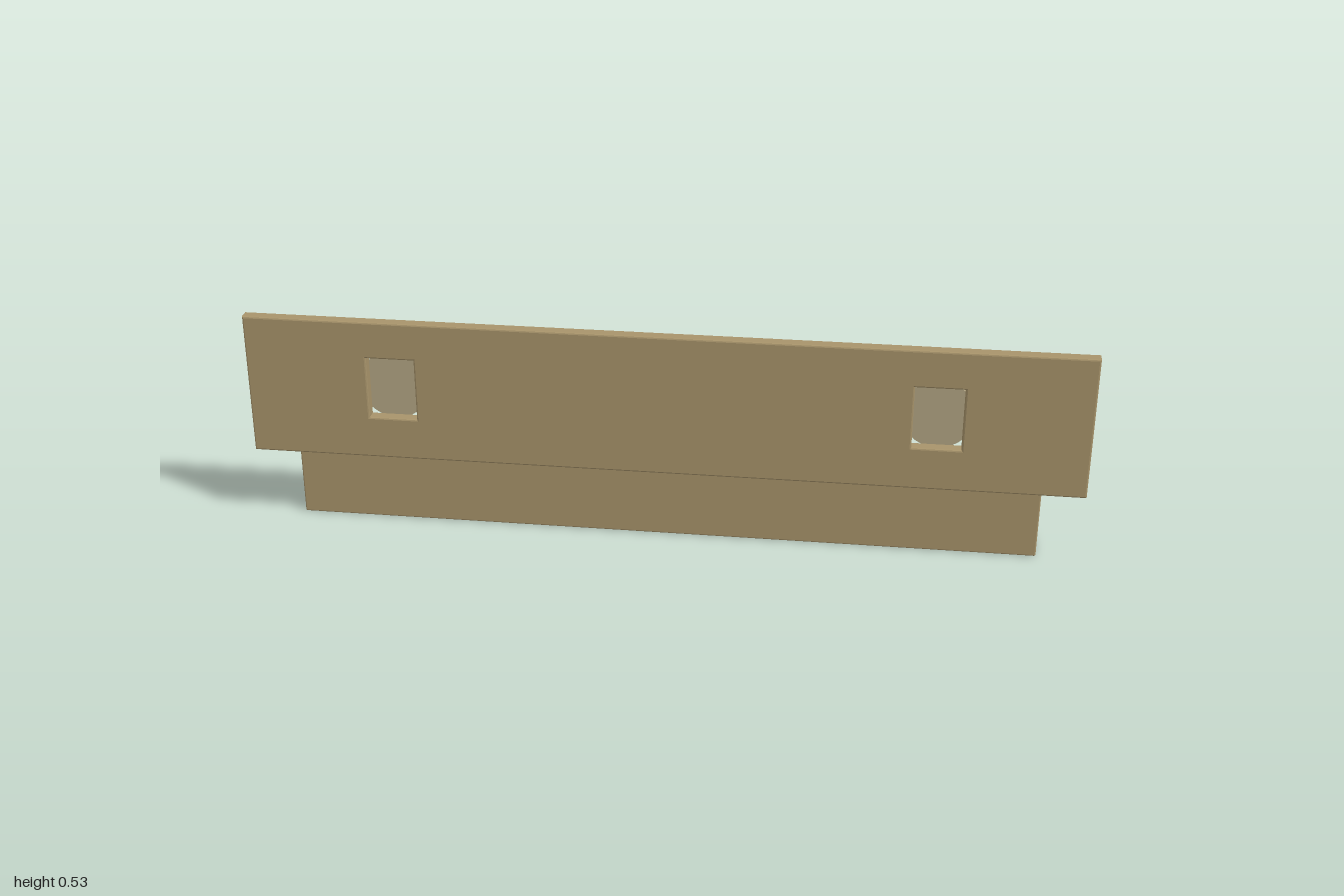
import * as THREE from 'three';
import { RoundedBoxGeometry } from 'three/addons/geometries/RoundedBoxGeometry.js';

const EDGE = 0.004; // softened timber edge

function rectangle(PathType, x0, x1, y0, y1) {
  const p = new PathType();
  p.moveTo(x0, y0);
  p.lineTo(x1, y0);
  p.lineTo(x1, y1);
  p.lineTo(x0, y1);
  p.closePath();
  return p;
}

export function createModel() {
  const group = new THREE.Group();
  const wood = new THREE.MeshStandardMaterial({ color: 0xa8946b });
  const metal = new THREE.MeshStandardMaterial({ color: 0xb3a684 });
  const metalFlat = metal.clone();
  metalFlat.flatShading = true;

  const add = (name, geometry, material, x, y, z) => {
    const mesh = new THREE.Mesh(geometry, material);
    mesh.name = name;
    mesh.position.set(x, y, z);
    group.add(mesh);
    return mesh;
  };

  // Timber bar given by its y and z limits
  const bar = (name, y0, y1, z0, z1) =>
    add(name, new RoundedBoxGeometry(1.8, y1 - y0, z1 - z0, 2, EDGE), wood,
      0, (y0 + y1) / 2, (z0 + z1) / 2);

  bar('lowerBeam', 0, 0.181, -0.076, 0.038);
  bar('spacerBatten', 0.183, 0.22, -0.076, 0.044);

  // Front board with two rectangular windows
  const boltX = 0.647, boltY = 0.363;
  const face = rectangle(THREE.Shape, -1, 1, 0.183, 0.534);
  for (const side of [-1, 1]) {
    face.holes.push(rectangle(THREE.Path,
      side * boltX - 0.058, side * boltX + 0.058, 0.288, 0.442));
  }
  const board = new THREE.ExtrudeGeometry(face, {
    depth: 0.032 - 2 * EDGE, bevelEnabled: true, bevelThickness: EDGE,
    bevelSize: EDGE, bevelOffset: -EDGE, bevelSegments: 2,
  });
  add('frontBoard', board, wood, 0, 0, 0.045 + EDGE);

  // Washer and hexagonal bolt head behind each window
  for (const side of [-1, 1]) {
    const label = side > 0 ? 'left' : 'right';
    const washer = add(label + 'Washer',
      new THREE.CylinderGeometry(0.085, 0.085, 0.015, 40), metal,
      side * boltX, boltY, 0.0375);
    const head = add(label + 'BoltHead',
      new THREE.CylinderGeometry(0.0525, 0.0525, 0.04, 6), metalFlat,
      side * boltX, boltY, 0.0105);
    washer.rotation.x = head.rotation.x = Math.PI / 2; // corner points up
  }
  return group;
}
